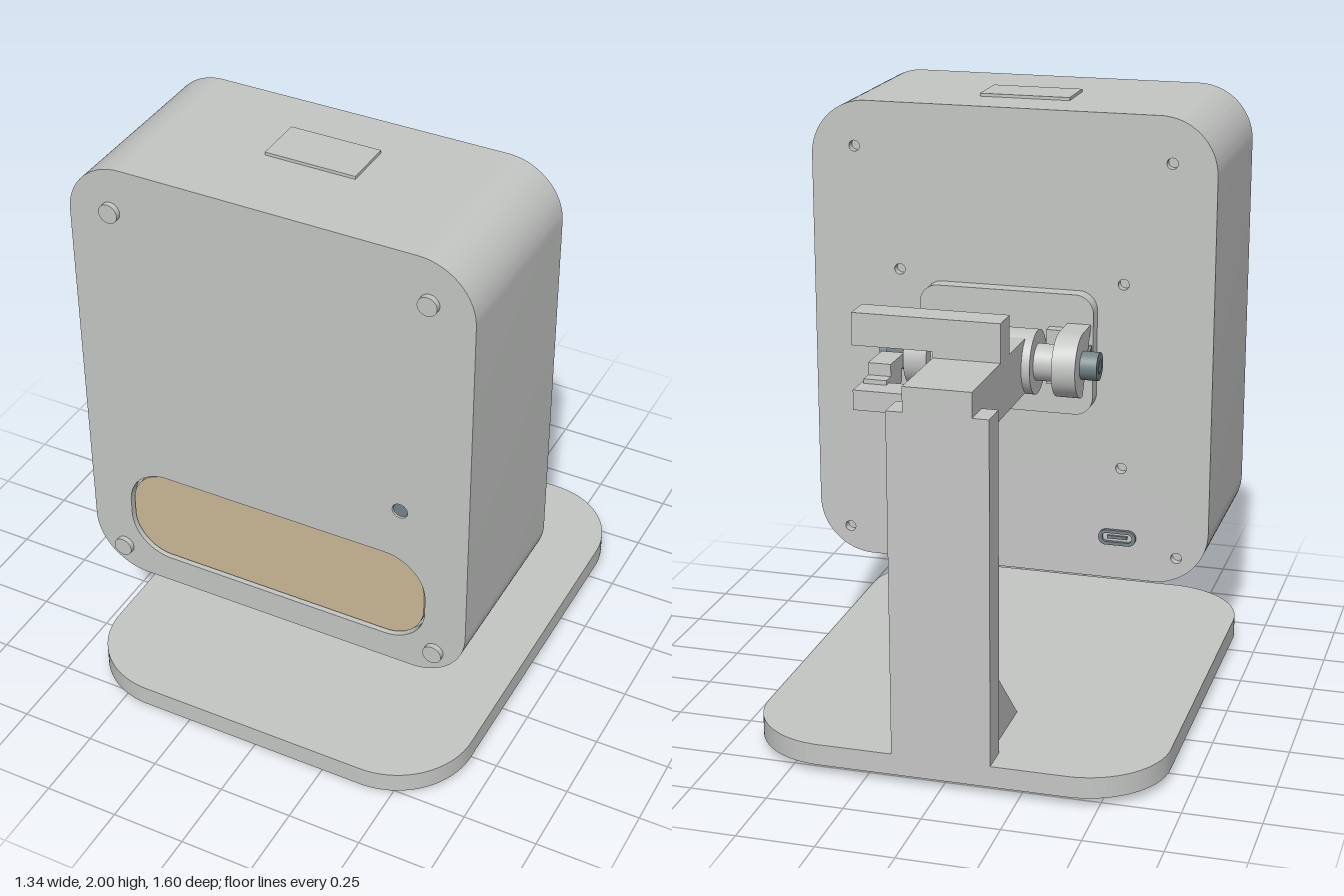
import * as THREE from 'three';
import { toCreasedNormals } from 'three/addons/utils/BufferGeometryUtils.js';

const mat = (name, color) => {
  const m = new THREE.MeshStandardMaterial({ color });
  m.name = name;
  return m;
};

// Rounded rectangle outline centred on (cx, cy)
function roundRect(w, h, r, cx = 0, cy = 0, Type = THREE.Shape) {
  const s = new Type(), a = w / 2 - r, b = h / 2 - r;
  s.absarc(cx + a, cy + b, r, 0, Math.PI / 2);
  s.absarc(cx - a, cy + b, r, Math.PI / 2, Math.PI);
  s.absarc(cx - a, cy - b, r, Math.PI, Math.PI * 1.5);
  s.absarc(cx + a, cy - b, r, Math.PI * 1.5, Math.PI * 2);
  s.closePath();
  return s;
}
const circleHole = (x, y, r) => new THREE.Path().absarc(x, y, r, 0, Math.PI * 2);

const extrude = (shape, depth) => toCreasedNormals(
  new THREE.ExtrudeGeometry(shape, { depth, bevelEnabled: false, curveSegments: 16 }), 0.5);

// Extrude a (-z, y) side profile along x
const sideExtrude = (shape, x0, x1) => extrude(shape, x1 - x0).rotateY(Math.PI / 2).translate(x0, 0, 0);

const box = (x0, x1, y0, y1, z0, z1) => new THREE.BoxGeometry(x1 - x0, y1 - y0, z1 - z0)
  .translate((x0 + x1) / 2, (y0 + y1) / 2, (z0 + z1) / 2);

export function createModel() {
  const grey = mat('light grey plastic', 0xc4c6c4);
  const steel = mat('dark steel', 0x758387);
  const tan = mat('tan window', 0xcab896);
  const model = new THREE.Group();
  const add = (name, geometry, material = grey) => {
    const m = new THREE.Mesh(geometry, material);
    m.name = name;
    model.add(m);
    return m;
  };

  // Base plate and feet
  add('basePlate', extrude(roundRect(1.34, 1.6, 0.27), 0.07).rotateX(-Math.PI / 2).translate(0, 0.03, 0));
  for (const x of [-0.44, 0.44]) for (const z of [-0.47, 0.47])
    add('foot', new THREE.CylinderGeometry(0.08, 0.08, 0.03, 32).translate(x, 0.015, z), steel);

  // Post with wedge brace
  add('post', box(-0.16, 0.16, 0.1, 1.22, -0.8, -0.7));
  const wedge = new THREE.Shape([[0.4, 0.1], [0.7, 0.1], [0.7, 0.39]].map(p => new THREE.Vector2(...p)));
  add('brace', sideExtrude(wedge, -0.135, 0.135));

  // Housing: core, back panel with screw holes, front panel with recesses
  const corners = [[-0.525, 1.84], [0.525, 1.84], [-0.565, 0.525], [0.565, 0.525]];
  const outline = () => roundRect(1.34, 1.555, 0.185, 0, 1.2125);
  const back = outline(), front = outline();
  for (const [x, y] of corners) back.holes.push(circleHole(x, y, 0.018));
  for (const x of [-0.375, 0.375]) for (const y of [0.82, 1.44]) back.holes.push(circleHole(x, y, 0.018));
  front.holes.push(roundRect(1.06, 0.335, 0.14, 0, 0.7, THREE.Path), circleHole(0.44, 1.05, 0.026));
  add('housing', extrude(outline(), 0.55).translate(0, 0, 0.03));
  add('backPanel', extrude(back, 0.03));
  add('frontPanel', extrude(front, 0.03).translate(0, 0, 0.58));

  // Front details
  add('window', extrude(roundRect(1.044, 0.319, 0.132, 0, 0.7), 0.02).translate(0, 0, 0.58), tan);
  add('indicator', new THREE.CylinderGeometry(0.024, 0.024, 0.025, 24).rotateX(Math.PI / 2)
    .translate(0.44, 1.05, 0.592), steel);
  for (const [x, y] of corners)
    add('frontStud', new THREE.CylinderGeometry(0.032, 0.032, 0.018, 32).rotateX(Math.PI / 2)
      .translate(x, y, 0.619));
  add('topButton', box(-0.15, 0.15, 1.985, 2, 0.17, 0.335));

  // Rear port: ring with a tongue inside
  const ring = roundRect(0.125, 0.052, 0.025, -0.367, 0.58);
  ring.holes.push(roundRect(0.1, 0.03, 0.014, -0.367, 0.58, THREE.Path));
  add('portRing', extrude(ring, 0.014).translate(0, 0, -0.012), steel);
  add('portTongue', box(-0.4, -0.334, 0.575, 0.585, -0.008, 0.002), steel);

  // Hinge mount on the back of the housing
  const Y = 1.21, U = 0.157, R = 0.105;
  add('hingePlate', extrude(roundRect(0.58, 0.4, 0.06, 0, Y), 0.055).translate(0, 0, -0.055));
  const lug = new THREE.Shape();
  lug.moveTo(0.05, Y - R);
  lug.absarc(U, Y, R, -Math.PI / 2, Math.PI / 2);
  lug.lineTo(0.05, Y + R);
  lug.closePath();
  const axle = (name, x0, x1, r, material, sides = 32) => add(name,
    new THREE.CylinderGeometry(r, r, x1 - x0, sides).rotateZ(Math.PI / 2)
      .translate((x0 + x1) / 2, Y, -U), material);
  for (const s of [-1, 1]) {
    const [a, b] = s < 0 ? [-0.282, -0.205] : [0.205, 0.282];
    add('hingeLug', sideExtrude(lug, a, b));
    const [c, d] = s < 0 ? [-0.205, -0.145] : [0.145, 0.205];
    add('lugRib', box(c, d, Y - 0.09, Y + 0.09, -0.093, -0.05));
    axle('spacer', Math.min(s * 0.13, s * 0.21), Math.max(s * 0.13, s * 0.21), 0.06, grey);
    add('lugSlot', sideExtrude(roundRect(0.04, 0.075, 0.012, 0.054, Y), s * 0.283 - 0.004, s * 0.283 + 0.004), steel);
  }

  // Bolt and nut through the hinge
  axle('boltHead', -0.337, -0.28, 0.046, steel);
  axle('boltSocket', -0.339, -0.336, 0.024, steel, 6);
  axle('nut', 0.28, 0.355, 0.06, steel, 6);
  axle('boltEnd', 0.35, 0.387, 0.027, steel);

  // Support arm and its barrel
  add('arm', box(-0.108, 0.108, 1.12, 1.3, -0.8, -0.157));
  axle('armBarrel', -0.135, 0.132, R, grey);

  // Crossbars with the latch fingers that hold the nut
  add('crossbarRoot', box(-0.108, 0.108, 1.29, 1.425, -0.495, -0.392));
  add('upperCrossbar', box(0.1, 0.37, 1.32, 1.425, -0.495, -0.392));
  add('lowerCrossbar', box(0.1, 0.37, 1.11, 1.175, -0.495, -0.392));
  add('upperFinger', box(0.285, 0.36, 1.36, 1.408, -0.395, -0.335));
  add('upperFingerTip', new THREE.BoxGeometry(0.075, 0.05, 0.12).rotateX(0.55)
    .translate(0.3225, 1.337, -0.283));
  add('lowerFinger', box(0.285, 0.36, 1.14, 1.19, -0.42, -0.265));
  add('lowerFingerTip', box(0.285, 0.36, 1.185, 1.23, -0.375, -0.24));

  return model;
}
